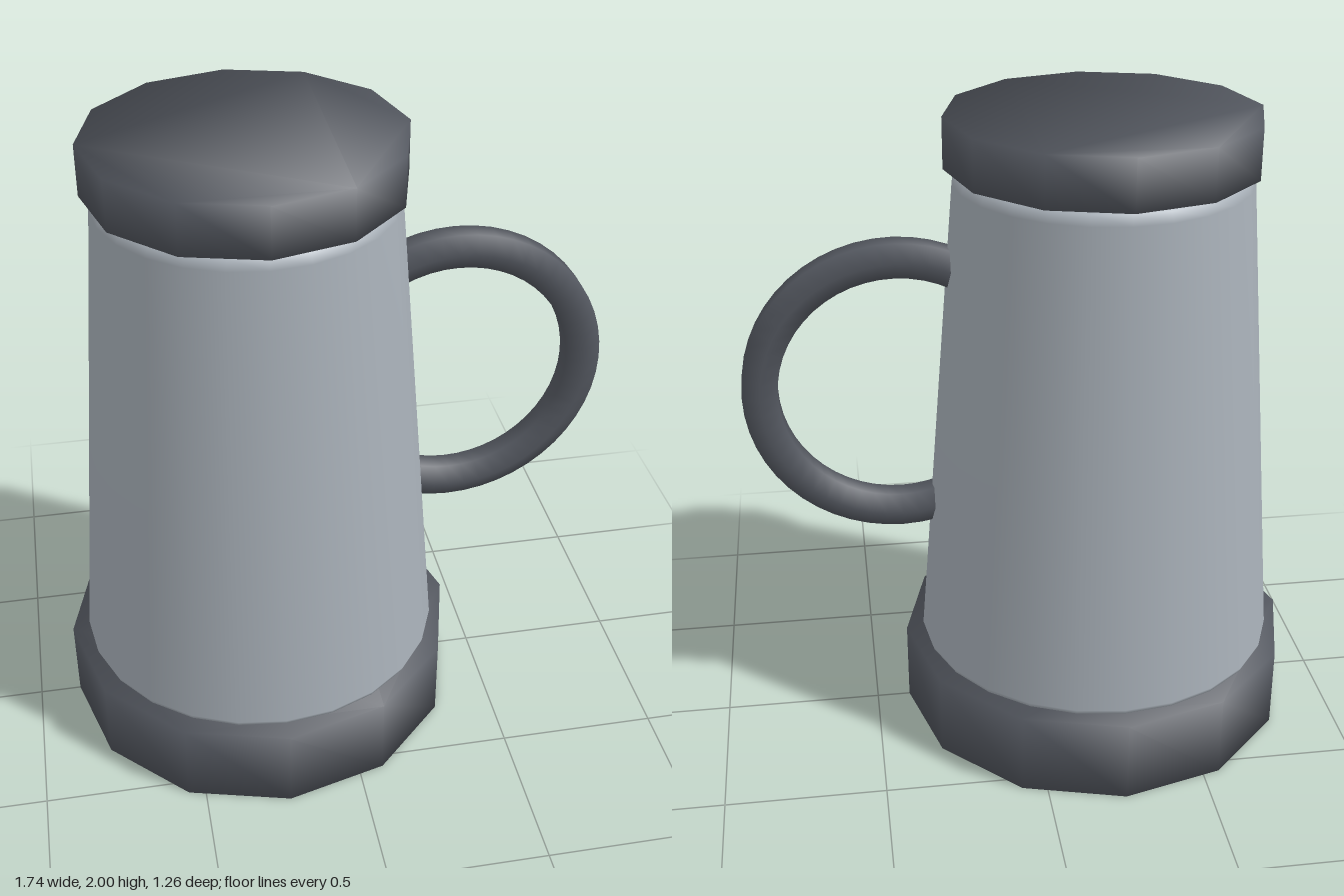
import * as THREE from 'three';

const AXIS_X = -0.238; // the vessel stands left of centre, the handle fills the rest

function mesh(name, geometry, material, x, y) {
  const m = new THREE.Mesh(geometry, material);
  m.name = name;
  m.position.set(x, y, 0);
  return m;
}

// Twelve-sided slab without centre points, softly shaded across its rims
function slab(radius, height) {
  const corners = [];
  for (let i = 0; i < 12; i++) {
    const a = (i * Math.PI) / 6;
    corners.push(new THREE.Vector2(radius * Math.cos(a), radius * Math.sin(a)));
  }
  const g = new THREE.ExtrudeGeometry(new THREE.Shape(corners), { depth: height, bevelEnabled: false });
  g.rotateX(-Math.PI / 2);
  const p = g.attributes.position;
  const n = g.attributes.normal;
  for (let i = 0; i < p.count; i++) {
    const up = p.getY(i) > height / 2 ? 0.64 : -0.64;
    n.setXYZ(i, (0.77 * p.getX(i)) / radius, up, (0.77 * p.getZ(i)) / radius);
  }
  return g;
}

// Closed tapered body with rounded rims
function taperedBody() {
  const profile = [
    [0, 0.266], [0.557, 0.266], [0.57, 0.273], [0.575, 0.287],
    [0.45, 1.8], [0.435, 1.83], [0.405, 1.844], [0, 1.844],
  ].map(([r, y]) => new THREE.Vector2(r, y));
  return new THREE.LatheGeometry(profile, 24, Math.PI / 2);
}

// Open ring with a smooth six-sided section, its ends buried in the body
function ring() {
  const R = 0.42;
  const section = [];
  for (let i = 0; i <= 6; i++) {
    const a = Math.PI * (7 / 6 + i / 3);
    section.push(new THREE.Vector2(R + 0.063 * Math.cos(a), 0.063 * Math.sin(a)));
  }
  const span = (Math.PI * 250) / 180;
  const g = new THREE.LatheGeometry(section, 36, Math.PI / 2 - span / 2, span);
  // Normals point straight away from the centre line of the ring
  const v = new THREE.Vector3();
  const centre = new THREE.Vector3();
  for (let i = 0; i < g.attributes.position.count; i++) {
    v.fromBufferAttribute(g.attributes.position, i);
    centre.set(v.x, 0, v.z).setLength(R);
    v.sub(centre).normalize();
    g.attributes.normal.setXYZ(i, v.x, v.y, v.z);
  }
  return g.rotateX(Math.PI / 2);
}

export function createModel() {
  const steel = new THREE.MeshStandardMaterial({ color: 0xa9b1b9 });
  steel.name = 'pale steel';
  const dark = new THREE.MeshStandardMaterial({ color: 0x53575f });
  dark.name = 'dark grey';

  const tankard = new THREE.Group();
  tankard.name = 'tankard';
  tankard.add(
    mesh('base', slab(0.631, 0.265), dark, AXIS_X, 0),
    mesh('body', taperedBody(), steel, AXIS_X, 0),
    mesh('lid', slab(0.475, 0.155), dark, AXIS_X, 1.845),
    mesh('handle', ring(), dark, 0.393, 1.16),
  );
  return tankard;
}
